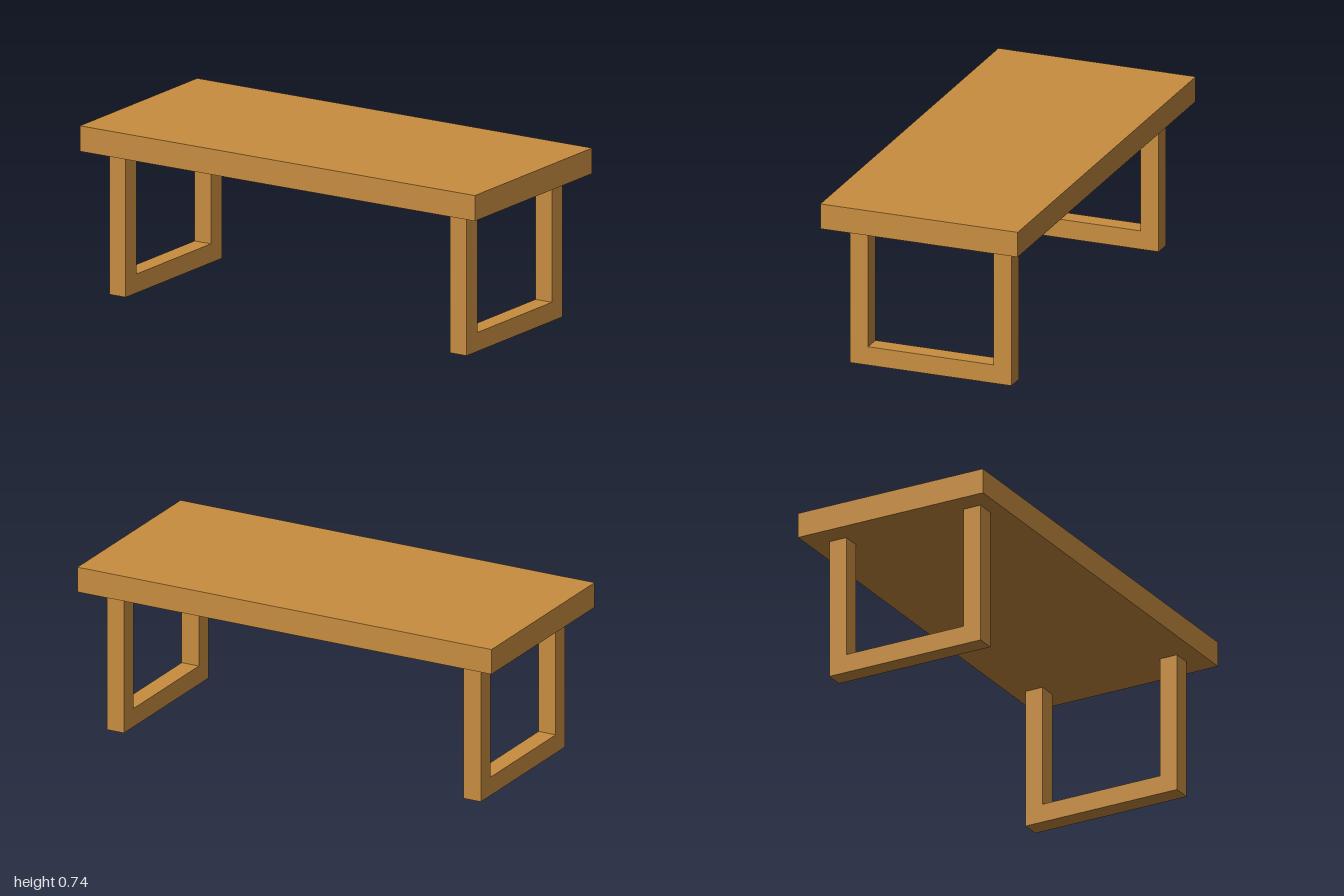
import * as THREE from 'three';

export function createModel() {
  const wood = new THREE.MeshStandardMaterial({ color: 0xc88d40 });
  wood.name = 'wood';
  const table = new THREE.Group();
  table.name = 'table';

  // Thick slab top
  const top = new THREE.Mesh(new THREE.BoxGeometry(2, 0.112, 0.9), wood);
  top.name = 'tableTop';
  top.position.y = 0.684;
  table.add(top);

  // U-shaped leg frame, drawn in the z-y plane and slightly off centre
  const front = 0.357, back = -0.38, height = 0.628, bar = 0.083;
  const outline = new THREE.Shape([
    [-front, 0], [-back, 0], [-back, height], [-back - bar, height],
    [-back - bar, bar], [-front + bar, bar], [-front + bar, height], [-front, height],
  ].map(([x, y]) => new THREE.Vector2(x, y)));
  const frameGeometry = new THREE.ExtrudeGeometry(outline, { depth: 0.083, bevelEnabled: false });
  frameGeometry.rotateY(Math.PI / 2); // shape x runs to -z, depth to +x
  frameGeometry.translate(0.814, 0, 0);

  // The second frame is the first turned half way round
  ['leftLegFrame', 'rightLegFrame'].forEach((name, i) => {
    const frame = new THREE.Mesh(frameGeometry, wood);
    frame.name = name;
    frame.rotation.y = i * Math.PI;
    table.add(frame);
  });

  return table;
}
